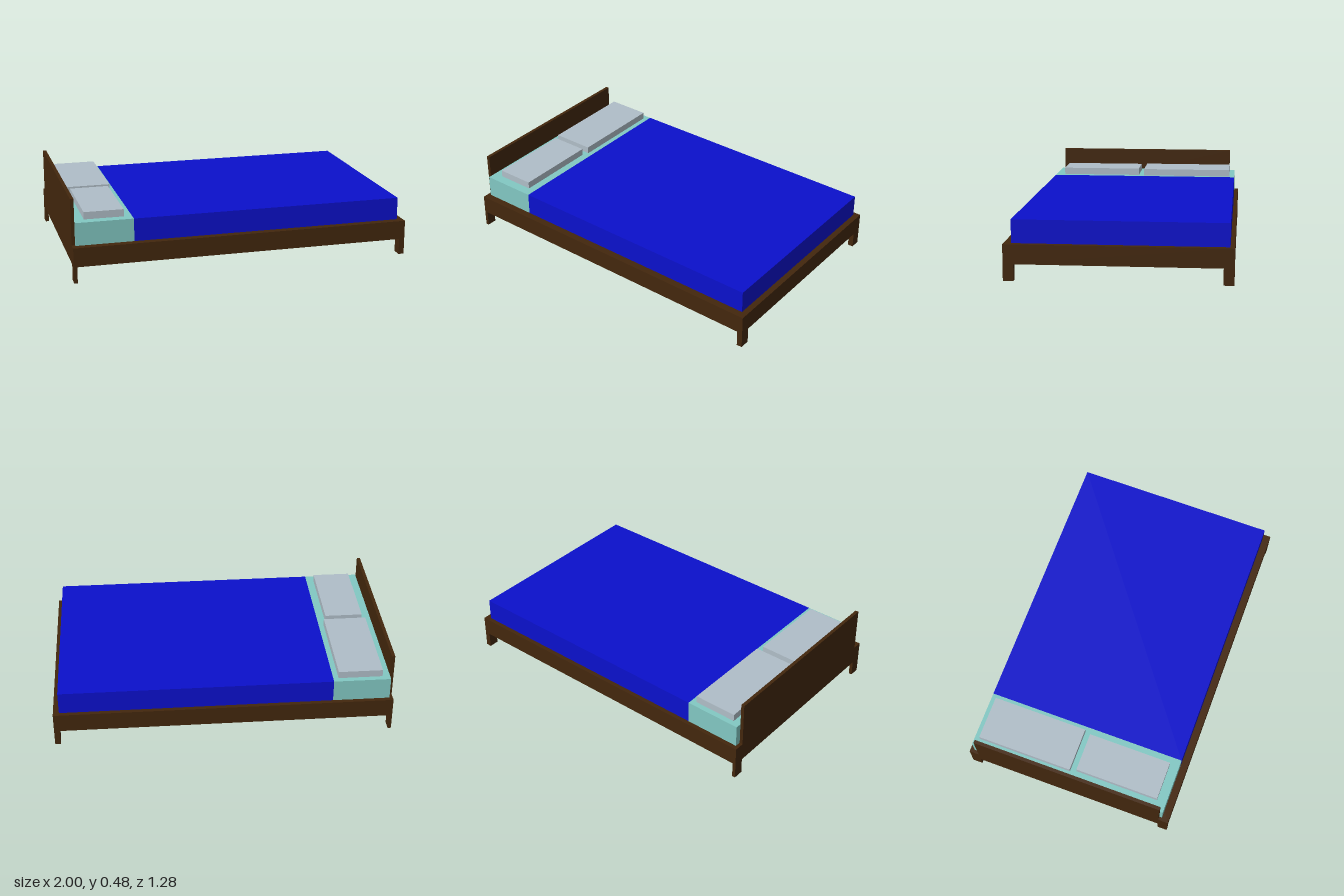
import * as THREE from 'three';

const mat = (color) => new THREE.MeshStandardMaterial({ color });

export function createModel() {
  const bed = new THREE.Group();
  bed.name = 'bed';
  const wood = mat(0x43270d);
  const blanketBlue = mat(0x0b10cc);
  const sheetTeal = mat(0x82c8c3);
  const pillowGrey = mat(0xb0bec8);

  // Box given by its minimum and maximum on each axis
  function box(name, material, [x0, x1], [y0, y1], [z0, z1]) {
    const mesh = new THREE.Mesh(new THREE.BoxGeometry(x1 - x0, y1 - y0, z1 - z0), material);
    mesh.position.set((x0 + x1) / 2, (y0 + y1) / 2, (z0 + z1) / 2);
    mesh.name = name;
    bed.add(mesh);
  }

  // Wooden base and headboard
  box('frame', wood, [-1, 1], [0.095, 0.207], [-0.64, 0.64]);
  box('headboard', wood, [-1, -0.98], [0.207, 0.478], [-0.58, 0.58]);

  // Four legs, thinner at the head end
  for (const side of [-1, 1]) {
    const z = side > 0 ? [0.58, 0.64] : [-0.64, -0.58];
    box('headLeg', wood, [-1, -0.98], [0, 0.095], z);
    box('footLeg', wood, [0.967, 1], [0, 0.095], z);
  }

  // Mattress: exposed sheet at the head, blanket over the rest
  box('sheet', sheetTeal, [-0.98, -0.643], [0.207, 0.341], [-0.615, 0.597]);
  box('blanket', blanketBlue, [-0.643, 0.965], [0.207, 0.341], [-0.615, 0.597]);

  // Two pillows of slightly different size
  box('backPillow', pillowGrey, [-0.935, -0.674], [0.341, 0.384], [-0.582, -0.004]);
  box('frontPillow', pillowGrey, [-0.92, -0.69], [0.341, 0.384], [0.033, 0.54]);

  return bed;
}
